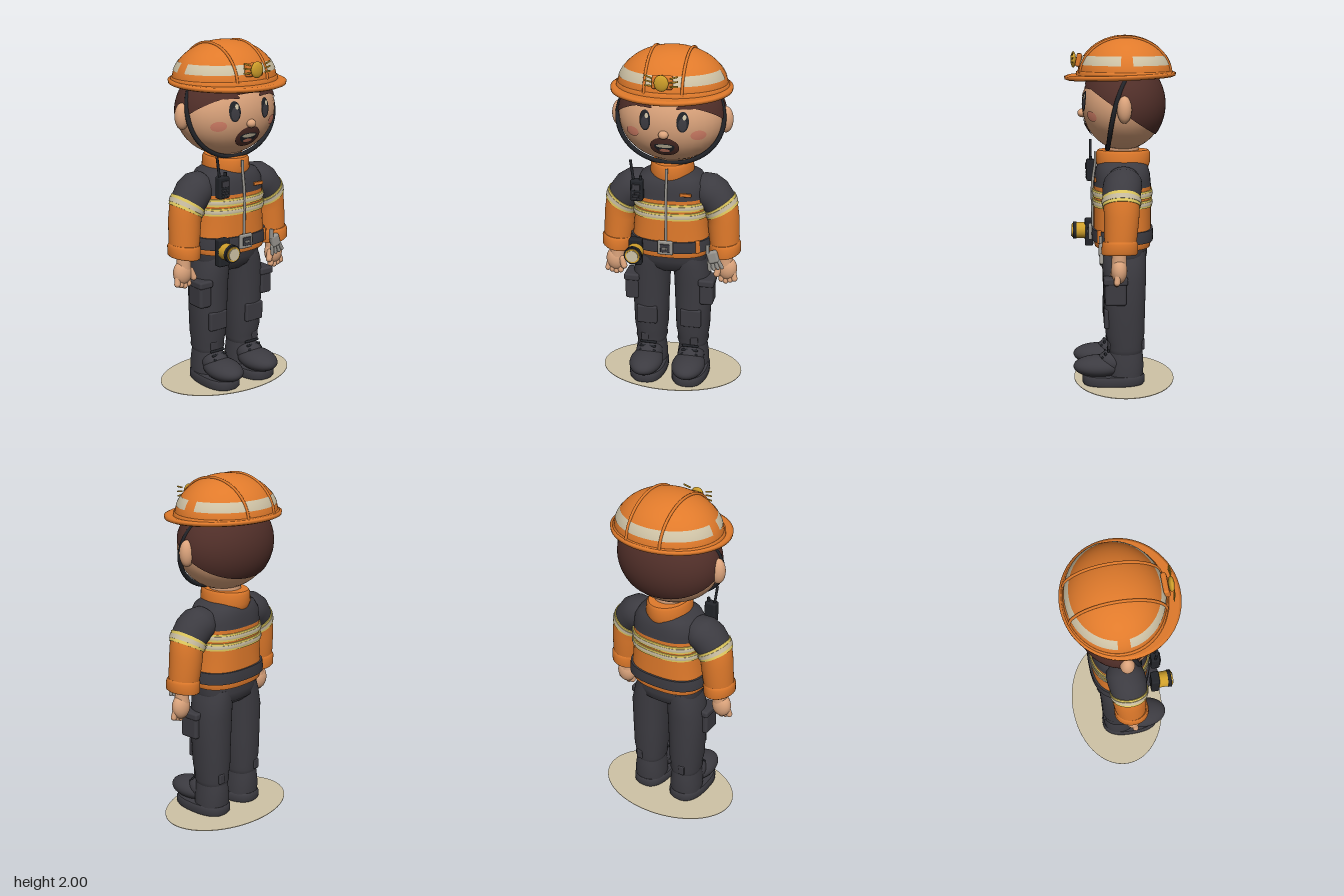
import * as THREE from 'three';
import { RoundedBoxGeometry } from 'three/addons/geometries/RoundedBoxGeometry.js';

const mat = (name, color, side = THREE.FrontSide) => {
  const m = new THREE.MeshStandardMaterial({ color, side });
  m.name = name;
  return m;
};

// Closed body through oval rings, listed bottom to top: [cx, cy, cz, rx, rz, tilt]
function loft(rings, p = 2, n = 40) {
  const pos = [], idx = [];
  const pow = (v) => Math.sign(v) * Math.abs(v) ** (2 / p);
  const addRing = ([cx, cy, cz, rx, rz, a = 0]) => {
    const start = pos.length / 3;
    for (let j = 0; j < n; j++) {
      const t = (j / n) * Math.PI * 2, u = rx * pow(Math.cos(t));
      pos.push(cx + u * Math.cos(a), cy + u * Math.sin(a), cz + rz * pow(Math.sin(t)));
    }
    return start;
  };
  const starts = rings.map(addRing);
  for (let i = 0; i + 1 < rings.length; i++) {
    for (let j = 0; j < n; j++) {
      const k = (j + 1) % n, a = starts[i], b = starts[i + 1];
      idx.push(a + j, b + j, a + k, a + k, b + j, b + k);
    }
  }
  [rings[0], rings[rings.length - 1]].forEach((r, top) => {
    const s = addRing(r), c = pos.length / 3;
    pos.push(r[0], r[1], r[2]);
    for (let j = 0; j < n; j++) {
      const k = (j + 1) % n;
      idx.push(c, s + (top ? k : j), s + (top ? j : k));
    }
  });
  const g = new THREE.BufferGeometry();
  g.setAttribute('position', new THREE.Float32BufferAttribute(pos, 3));
  g.setIndex(idx);
  g.computeVertexNormals();
  return g;
}

const lerp = (a, b, t) => a.map((v, i) => v + (b[i] - v) * t);
const ball = () => new THREE.SphereGeometry(1, 32, 24);
const box = (w, h, d, r = 0.01) => new RoundedBoxGeometry(w, h, d, 3, r);
const tube = (pts, r, seg = 48) =>
  new THREE.TubeGeometry(new THREE.CatmullRomCurve3(pts.map((p) => new THREE.Vector3(...p))), seg, r, 8);

// Head ellipsoid: centre and radii
const HC = [0, 1.61, -0.02], HR = [0.305, 0.26, 0.235];

// Disc wrapped onto the front of the head
function facePatch(cx, cy, rx, ry, off, warp = (u, v) => [u, v]) {
  const g = new THREE.RingGeometry(0.001, 1, 32, 6), p = g.attributes.position;
  for (let i = 0; i < p.count; i++) {
    const [u, v] = warp(p.getX(i), p.getY(i));
    const x = cx + u * rx, y = cy + v * ry;
    const q = 1 - (x / HR[0]) ** 2 - ((y - HC[1]) / HR[1]) ** 2;
    p.setXYZ(i, x, y, HC[2] + HR[2] * Math.sqrt(Math.max(q, 0)) + off);
  }
  g.computeVertexNormals();
  return g;
}

// Jacket outline by height: [y, rx, rz]
const JACKET = [[0.8, 0.222, 0.16], [0.83, 0.232, 0.166], [0.9, 0.225, 0.165], [1.0, 0.216, 0.165],
  [1.15, 0.212, 0.165], [1.22, 0.205, 0.158], [1.265, 0.175, 0.145], [1.295, 0.11, 0.115]];
function jacketRing(y, grow = 0) {
  let i = 0;
  while (i < JACKET.length - 2 && JACKET[i + 1][0] < y) i++;
  const a = JACKET[i], b = JACKET[i + 1];
  const [, rx, rz] = lerp(a, b, (y - a[0]) / (b[0] - a[0]));
  return [0, y, -0.015, rx + grow, rz + grow];
}
const jacketBand = (y0, y1, grow) => loft([jacketRing(y0, grow), jacketRing((y0 + y1) / 2, grow + 0.002), jacketRing(y1, grow)], 2.5);

export function createModel() {
  const root = new THREE.Group();
  root.name = 'rescueWorker';
  const orange = mat('orange', 0xe07a2b), dark = mat('charcoal', 0x3c3b41), skin = mat('skin', 0xdca47c);
  const brown = mat('brown', 0x512f29), beige = mat('reflective beige', 0xcfc3a6, THREE.DoubleSide);
  const yellow = mat('trim yellow', 0xe6cf62), gold = mat('gold', 0xcf9f2a), grey = mat('grey', 0x97948e);
  const black = mat('black', 0x222429), pink = mat('pink', 0xd9836a);

  const add = (name, geo, m, pos = [0, 0, 0], scale = [1, 1, 1], rot = [0, 0, 0]) => {
    const mesh = new THREE.Mesh(geo, m);
    mesh.name = name;
    mesh.position.set(...pos);
    mesh.scale.set(...scale);
    mesh.rotation.set(...rot);
    root.add(mesh);
    return mesh;
  };

  // Base disc
  add('baseDisc', loft([[0, 0, -0.025, 0.423, 0.293], [0, 0.004, -0.025, 0.423, 0.293]], 2, 64), beige);

  // Head, slanted hair cap and face
  add('head', ball(), skin, HC, HR);
  const hair = new THREE.SphereGeometry(1, 48, 32, 0, Math.PI * 2, 0, 1.69);
  hair.rotateX(-0.571);
  add('hair', hair, brown, HC, [0.311, 0.266, 0.242]);
  add('nose', ball(), skin, [0, 1.56, 0.215], [0.028, 0.024, 0.025]);
  for (const s of [-1, 1]) {
    add('ear', ball(), skin, [s * 0.305, 1.6, -0.015], [0.042, 0.075, 0.04]);
    add('eye', facePatch(s * 0.105, 1.635, 0.033, 0.057, 0.006), black);
    add('iris', facePatch(s * 0.105, 1.622, 0.022, 0.036, 0.008), dark);
    add('eyeHighlight', facePatch(s * 0.105 + 0.01, 1.662, 0.01, 0.014, 0.01), beige);
    add('eyebrow', facePatch(s * 0.112, 1.718, 0.045, 0.013, 0.007, (u, v) => [u, v - 0.9 * u * u]), brown);
    add('cheek', facePatch(s * 0.185, 1.555, 0.039, 0.029, 0.005), pink);
  }
  add('beard', facePatch(0, 1.475, 0.08, 0.06, 0.006, (u, v) => [u * (1 + 0.22 * v), v - 0.25 * u * u + 0.15]), brown);
  add('mouth', facePatch(0, 1.49, 0.058, 0.045, 0.008, (u, v) => [u, v > 0 ? v * 0.35 : v]), black);
  add('teeth', facePatch(0, 1.49, 0.046, 0.011, 0.01), beige);
  add('tongue', facePatch(0, 1.46, 0.03, 0.011, 0.01), pink);

  // Chin strap hugging the head
  const strap = [];
  for (let i = 0; i <= 20; i++) {
    const a = (i / 10 - 1) * 2.15, k = Math.abs(a) / 2.15;
    strap.push([0.303 * Math.sin(a), 1.61 - 0.258 * Math.cos(a), 0.07 - 0.09 * k ** 3]);
  }
  add('chinStrap', tube(strap, 0.013, 80), black);

  // Helmet
  const DC = [0, 1.77, -0.03], DR = [0.312, 0.23, 0.27];
  add('helmetDome', new THREE.SphereGeometry(1, 48, 24, 0, Math.PI * 2, 0, Math.PI / 2), orange, DC, DR);
  add('helmetBrim', loft([[0, -0.014, 0, 0.325, 0.3], [0, -0.008, 0, 0.34, 0.315], [0, 0.008, 0, 0.342, 0.317],
    [0, 0.014, 0, 0.328, 0.303]], 2, 64), orange, [0, 1.771, -0.003], [1, 1, 1], [0.035, 0, 0]);
  add('helmetRim', loft([[0, 1.775, -0.03, 0.32, 0.278], [0, 1.795, -0.03, 0.318, 0.276], [0, 1.8, -0.03, 0.31, 0.268]], 2, 64), orange);
  add('helmetButton', ball(), orange, [0, 1.996, -0.03], [0.012, 0.004, 0.012]);
  for (const s of [0, 1]) {
    add('helmetStripe', new THREE.SphereGeometry(1.008, 40, 4, s * Math.PI + 0.13, Math.PI - 0.26, Math.acos(0.5), 0.24), beige, DC, DR);
    const rail = [];
    for (let i = 0; i <= 16; i++) {
      const t = 0.08 + (i / 16) * (Math.PI - 0.16);
      rail.push([s ? 0.105 : -0.105, 1.77 + 0.219 * Math.sin(t), -0.03 + 0.257 * Math.cos(t)]);
    }
    add('helmetRail', tube(rail, 0.008), orange);
  }
  // Plain front badge with small side bars
  add('badgePad', box(0.115, 0.075, 0.03, 0.012), orange, [0, 1.86, 0.232], [1, 1, 1], [-0.2, 0, 0]);
  add('badge', ball(), gold, [0, 1.862, 0.262], [0.04, 0.045, 0.016]);
  for (const s of [-1, 1]) for (let i = -1; i <= 1; i++)
    add('badgeBar', box(0.045, 0.009, 0.006, 0.002), gold, [s * 0.07, 1.872 + i * 0.024, 0.265], [1, 1, 1], [0, s * 0.15, s * (0.15 + i * 0.15)]);

  // Jacket, trim and collar
  add('neck', new THREE.CylinderGeometry(0.09, 0.09, 0.14, 24), skin, [0, 1.33, -0.02]);
  add('jacketBody', loft([0.8, 0.83, 0.9, 1.0, 1.15].map((y) => jacketRing(y)), 2.5), orange);
  add('jacketYoke', loft([1.15, 1.18, 1.22, 1.265, 1.295].map((y) => jacketRing(y)), 2.5), dark);
  for (const y of [1.108, 1.054]) {
    add('jacketStripeEdge', jacketBand(y - 0.021, y + 0.021, 0.006), yellow);
    add('jacketStripeCentre', jacketBand(y - 0.01, y + 0.01, 0.009), beige);
  }
  add('collar', loft([[0, 1.25, -0.02, 0.12, 0.145], [0, 1.28, -0.02, 0.126, 0.155], [0, 1.335, -0.02, 0.12, 0.155],
    [0, 1.35, -0.02, 0.11, 0.145]]), orange, [0, 0, 0]);
  add('zip', tube([[0, 0.9, 0.155], [0, 1.15, 0.157], [0, 1.23, 0.147], [0, 1.28, 0.14], [0, 1.34, 0.138]], 0.008), grey);
  add('chestTag', box(0.066, 0.02, 0.012, 0.004), orange, [0.11, 1.19, 0.142]);

  // Belt and buckle
  add('belt', jacketBand(0.836, 0.903, 0.011), dark);
  add('buckleFrame', box(0.088, 0.084, 0.02, 0.008), grey, [0, 0.873, 0.17]);
  add('buckleInset', box(0.056, 0.05, 0.012, 0.004), dark, [0, 0.873, 0.178]);
  add('buckleBar', box(0.034, 0.012, 0.012, 0.004), grey, [0, 0.873, 0.182]);
  add('beltLoop', box(0.026, 0.075, 0.02, 0.006), orange, [0.178, 0.872, 0.12], [1, 1, 1], [0, 0.75, 0]);

  // Radio and lamp on the right side
  add('radioBody', box(0.07, 0.125, 0.05), black, [-0.163, 1.212, 0.165]);
  add('radioFace', box(0.046, 0.035, 0.008, 0.003), dark, [-0.163, 1.235, 0.192]);
  for (let i = 0; i < 3; i++) add('radioGrille', box(0.044, 0.007, 0.008, 0.002), dark, [-0.163, 1.2 - i * 0.016, 0.191]);
  add('radioKnob', new THREE.CylinderGeometry(0.009, 0.009, 0.03, 12), black, [-0.143, 1.28, 0.165]);
  add('antenna', tube([[-0.182, 1.26, 0.165], [-0.19, 1.32, 0.165], [-0.2, 1.39, 0.165]], 0.008), black);
  add('lampHolder', box(0.075, 0.16, 0.05), black, [-0.172, 0.84, 0.175]);
  const round = (name, r, z, len, m) =>
    add(name, new THREE.CylinderGeometry(r, r, len, 32), m, [-0.168, 0.85, z], [1, 1, 1], [Math.PI / 2, 0, 0]);
  round('lampBody', 0.047, 0.225, 0.06, gold);
  round('lampBezel', 0.051, 0.26, 0.02, black);
  round('lampRing', 0.042, 0.27, 0.012, gold);
  round('lampLens', 0.034, 0.274, 0.014, beige);

  // Gloves hanging from the left hip
  add('gloveClip', box(0.022, 0.06, 0.02, 0.005), grey, [0.235, 0.86, 0.115]);
  add('glovePalm', box(0.065, 0.075, 0.035, 0.015), grey, [0.265, 0.815, 0.11], [1, 1, 1], [0, 0, 0.3]);
  for (let i = 0; i < 4; i++)
    add('gloveFinger', new THREE.CapsuleGeometry(0.011, 0.045, 4, 10), grey, [0.245 + i * 0.021, 0.757 + i * 0.006, 0.112], [1, 1, 1], [0, 0, 0.1 + i * 0.13]);

  // Hips
  add('hips', loft([[0, 0.68, -0.025, 0.13, 0.09], [0, 0.71, -0.025, 0.19, 0.125], [0, 0.76, -0.02, 0.206, 0.14], [0, 0.83, -0.015, 0.205, 0.145]], 2.4), dark);

  for (const s of [-1, 1]) {
    // Sleeve: rings [cx, cy, cz, rx, rz, tilt], wrist to shoulder
    const side = (r) => [s * r[0], r[1], r[2], r[3], r[4], s * (r[5] || 0)];
    const bandLow = [0.298, 1.063, 0, 0.097, 0.1, 0.5], bandHigh = [0.28, 1.11, 0, 0.1, 0.104, 0.6];
    const arm = (name, rings, m) => add(name, loft(rings.map(side)), m);
    arm('sleeve', [[0.318, 0.83, 0.01, 0.083, 0.085, 0.08], [0.312, 0.9, 0.005, 0.088, 0.092, 0.08], [0.305, 1.0, 0, 0.093, 0.097, 0.25], bandLow, bandHigh], orange);
    arm('sleeveShoulder', [bandHigh, [0.245, 1.155, -0.005, 0.105, 0.11, 0.8], [0.205, 1.18, -0.01, 0.104, 0.108, 1.05],
      [0.16, 1.2, -0.015, 0.08, 0.09, 1.2], [0.13, 1.21, -0.015, 0.04, 0.05, 1.25]], dark);
    const trim = (t0, t1, grow) => [t0, t1].map((t) => lerp(bandLow, bandHigh, t).map((v, i) => (i === 3 || i === 4 ? v + grow : v)));
    arm('sleeveStripeEdge', trim(0, 1, 0.005), yellow);
    arm('sleeveStripeCentre', trim(0.28, 0.72, 0.008), beige);
    arm('sleeveCuff', [[0.32, 0.797, 0.012, 0.08, 0.092, 0.15], [0.32, 0.806, 0.012, 0.09, 0.101, 0.15], [0.318, 0.86, 0.01, 0.092, 0.1, 0.1], [0.316, 0.875, 0.01, 0.085, 0.092, 0.1]], orange);

    // Hand
    add('wrist', new THREE.CylinderGeometry(0.04, 0.042, 0.08, 20), skin, [s * 0.325, 0.775, 0.015]);
    add('palm', ball(), skin, [s * 0.333, 0.71, 0.015], [0.058, 0.072, 0.045]);
    for (let i = 0; i < 4; i++)
      add('finger', new THREE.CapsuleGeometry(0.018, 0.04, 6, 12), skin, [s * (0.305 + i * 0.023), 0.655 + Math.abs(i - 1) * 0.008, 0.025], [1, 1, 1], [-0.15, 0, s * 0.12 * (i - 1)]);
    add('thumb', new THREE.CapsuleGeometry(0.019, 0.045, 6, 12), skin, [s * 0.285, 0.7, 0.04], [1, 1, 1], [-0.2, 0, s * -0.35]);

    // Trouser leg, pockets and knee patch
    add('trouserLeg', loft([[0.127, 0.19, -0.03, 0.085, 0.095], [0.127, 0.215, -0.03, 0.094, 0.103], [0.127, 0.24, -0.03, 0.09, 0.1], [0.127, 0.3, -0.027, 0.1, 0.112],
      [0.127, 0.45, -0.025, 0.105, 0.117], [0.125, 0.62, -0.025, 0.11, 0.122], [0.112, 0.72, -0.02, 0.1, 0.128], [0.1, 0.78, -0.02, 0.09, 0.125]].map(side), 2.2), dark);
    add('cargoPocket', box(0.08, 0.145, 0.12, 0.016), dark, [s * 0.222, 0.562, 0.03]);
    add('pocketFlap', box(0.092, 0.042, 0.138, 0.012), dark, [s * 0.222, 0.63, 0.03]);
    add('kneePatch', box(0.122, 0.112, 0.03, 0.01), dark, [s * 0.132, 0.395, 0.08]);
    add('shinTab', box(0.045, 0.05, 0.02, 0.006), dark, [s * 0.15, 0.235, 0.065]);
    add('heelTab', box(0.04, 0.06, 0.02, 0.006), dark, [s * 0.15, 0.24, -0.128]);

    // Boot
    add('bootSole', loft([[0.128, 0.004, 0.04, 0.1, 0.172], [0.128, 0.016, 0.04, 0.108, 0.18], [0.128, 0.048, 0.04, 0.108, 0.18], [0.128, 0.06, 0.04, 0.1, 0.172]].map(side), 2.5), dark);
    add('bootToe', ball(), dark, [s * 0.128, 0.105, 0.125], [0.098, 0.062, 0.147]);
    add('bootHeel', loft([[0.128, 0.05, -0.03, 0.094, 0.1], [0.128, 0.11, -0.03, 0.094, 0.104], [0.128, 0.17, -0.03, 0.085, 0.1], [0.128, 0.22, -0.03, 0.08, 0.094]].map(side), 2.2), dark);
    add('bootInstep', ball(), dark, [s * 0.128, 0.13, 0.045], [0.08, 0.07, 0.09]);
    for (let i = 0; i < 3; i++)
      add('bootLace', new THREE.CapsuleGeometry(0.008, 0.085, 4, 8), black, [s * 0.128, 0.203 - i * 0.02, 0.07 + i * 0.017], [1, 1, 1], [0, 0, Math.PI / 2]);
  }
  return root;
}
